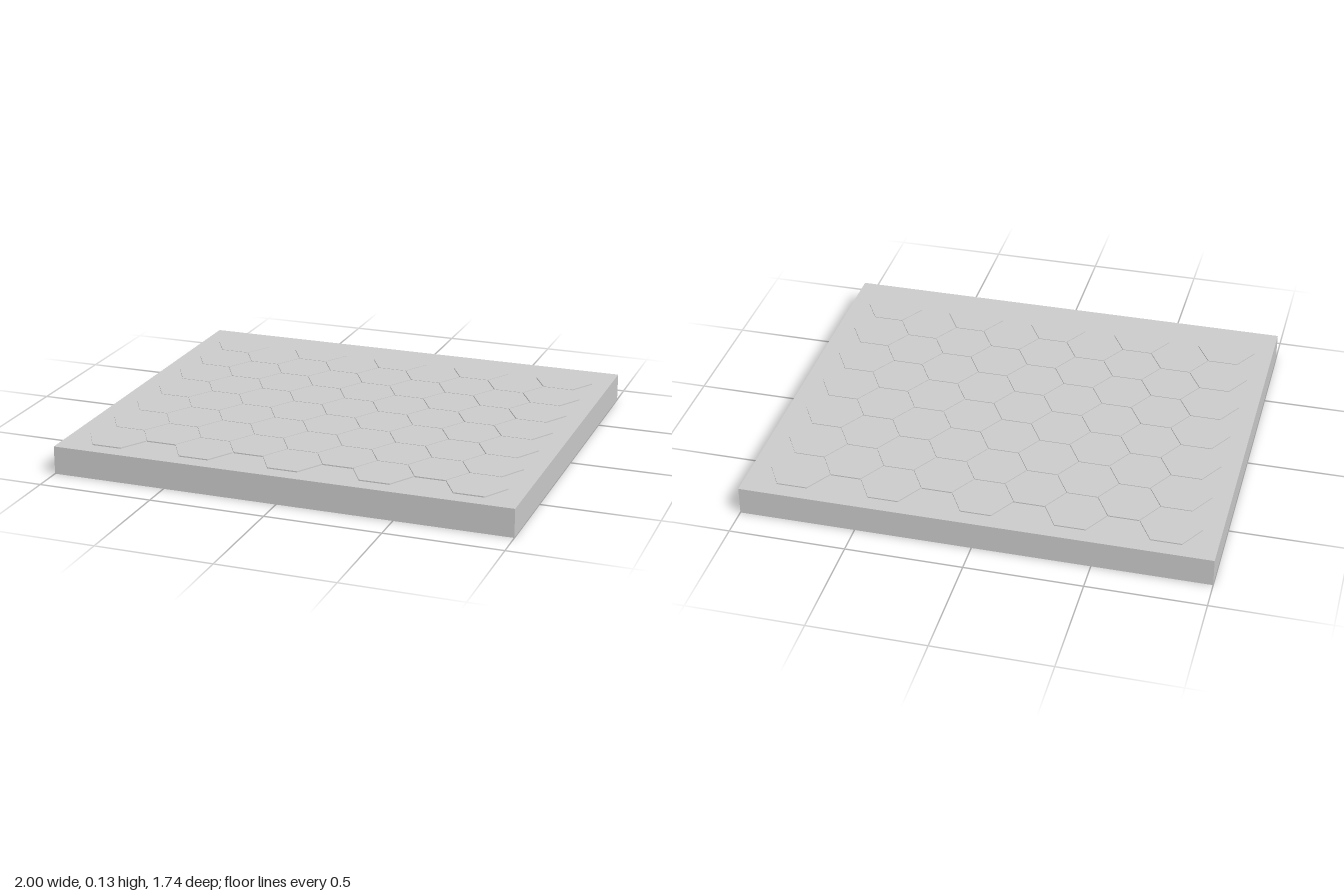
import * as THREE from 'three';

export function createModel() {
  const model = new THREE.Group();
  const material = new THREE.MeshStandardMaterial({ color: 0xcccccc, flatShading: true });

  // Slab base
  const baseHeight = 0.122;
  const base = new THREE.Mesh(new THREE.BoxGeometry(2, baseHeight, 1.736), material);
  base.name = 'base';
  base.position.y = baseHeight / 2;
  model.add(base);

  // Thin raised hexagonal tiles, a hairline gap between neighbours
  const pitch = 0.1318; // hexagon radius of the layout
  const tileHeight = 0.005;
  const tileGeometry = new THREE.CylinderGeometry(0.1295, 0.1295, tileHeight, 6, 1, false, Math.PI / 6);
  const tiles = new THREE.Group();
  tiles.name = 'hexTiles';
  model.add(tiles);

  // Nine columns, alternating seven and six tiles
  const columns = 9;
  for (let c = 0; c < columns; c++) {
    const rows = c % 2 === 0 ? 7 : 6;
    for (let r = 0; r < rows; r++) {
      const tile = new THREE.Mesh(tileGeometry, material);
      tile.name = 'hexTile';
      tile.position.set(
        (c - (columns - 1) / 2) * pitch * 1.5,
        baseHeight + tileHeight / 2,
        (r - (rows - 1) / 2) * pitch * Math.sqrt(3)
      );
      tiles.add(tile);
    }
  }
  return model;
}
